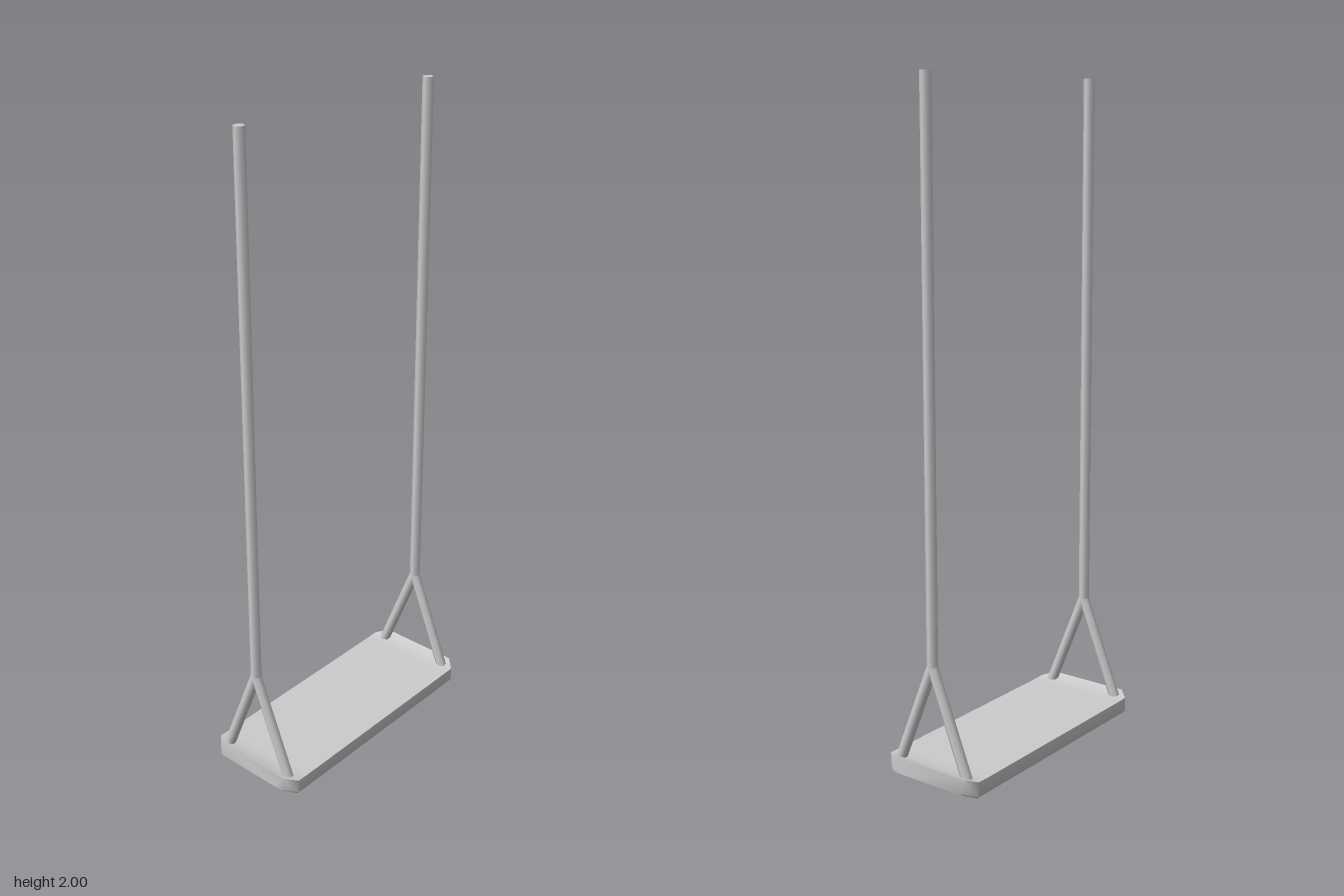
import * as THREE from 'three';
import { toCreasedNormals } from 'three/addons/utils/BufferGeometryUtils.js';

const grey = new THREE.MeshStandardMaterial({ color: 0xcccccc });

// Seat board: cross-sections along z, with clipped corners and upturned ends
function seatGeometry() {
  // z, half width, bottom, top
  const stations = [
    [-0.412, 0.132, 0.012, 0.061],
    [-0.38, 0.165, 0, 0.051],
    [-0.34, 0.165, 0, 0.05],
    [0.34, 0.165, 0, 0.05],
    [0.38, 0.165, 0, 0.051],
    [0.412, 0.132, 0.012, 0.061],
  ];
  const bevel = 0.007;
  const positions = [], index = [];
  for (const [z, w, b, t] of stations) {
    const half = [[w - 0.04, b], [w - bevel, b], [w, b + bevel], [w, t]];
    const loop = [...half, ...half.map(([x, y]) => [-x, y]).reverse()];
    for (const [x, y] of loop) positions.push(x, y, z);
  }
  const n = 8, last = (stations.length - 1) * n;
  for (let i = 0; i < stations.length - 1; i++) {
    for (let j = 0; j < n; j++) {
      const a = i * n + j, b = i * n + (j + 1) % n;
      index.push(a, b, b + n, a, b + n, a + n);
    }
  }
  // End faces
  for (let j = 1; j < n - 1; j++) {
    index.push(last, last + j, last + j + 1, 0, j + 1, j);
  }
  const geometry = new THREE.BufferGeometry();
  geometry.setAttribute('position', new THREE.Float32BufferAttribute(positions, 3));
  geometry.setIndex(index);
  return toCreasedNormals(geometry, 0.9);
}

// Six-sided rod between two points in the xy plane
function rod(name, x0, y0, x1, y1, radius) {
  const dx = x1 - x0, dy = y1 - y0;
  const mesh = new THREE.Mesh(
    new THREE.CylinderGeometry(radius, radius, Math.hypot(dx, dy), 6), grey);
  mesh.position.set((x0 + x1) / 2, (y0 + y1) / 2, 0);
  mesh.rotation.z = -Math.atan2(dx, dy);
  mesh.name = name;
  return mesh;
}

export function createModel() {
  const swing = new THREE.Group();
  swing.name = 'swing';

  const seat = new THREE.Mesh(seatGeometry(), grey);
  seat.name = 'seat';
  swing.add(seat);

  // One rope with its forked lower end at each end of the seat
  for (const [name, z] of [['frontRope', 0.381], ['backRope', -0.381]]) {
    const rope = new THREE.Group();
    rope.name = name;
    rope.add(
      rod('upperRope', 0, 0.35, 0, 2, 0.0165),
      rod('leftFork', 0.124, 0.045, 0, 0.355, 0.0165),
      rod('rightFork', -0.124, 0.045, 0, 0.355, 0.0165),
    );
    rope.position.z = z;
    swing.add(rope);
  }
  return swing;
}
